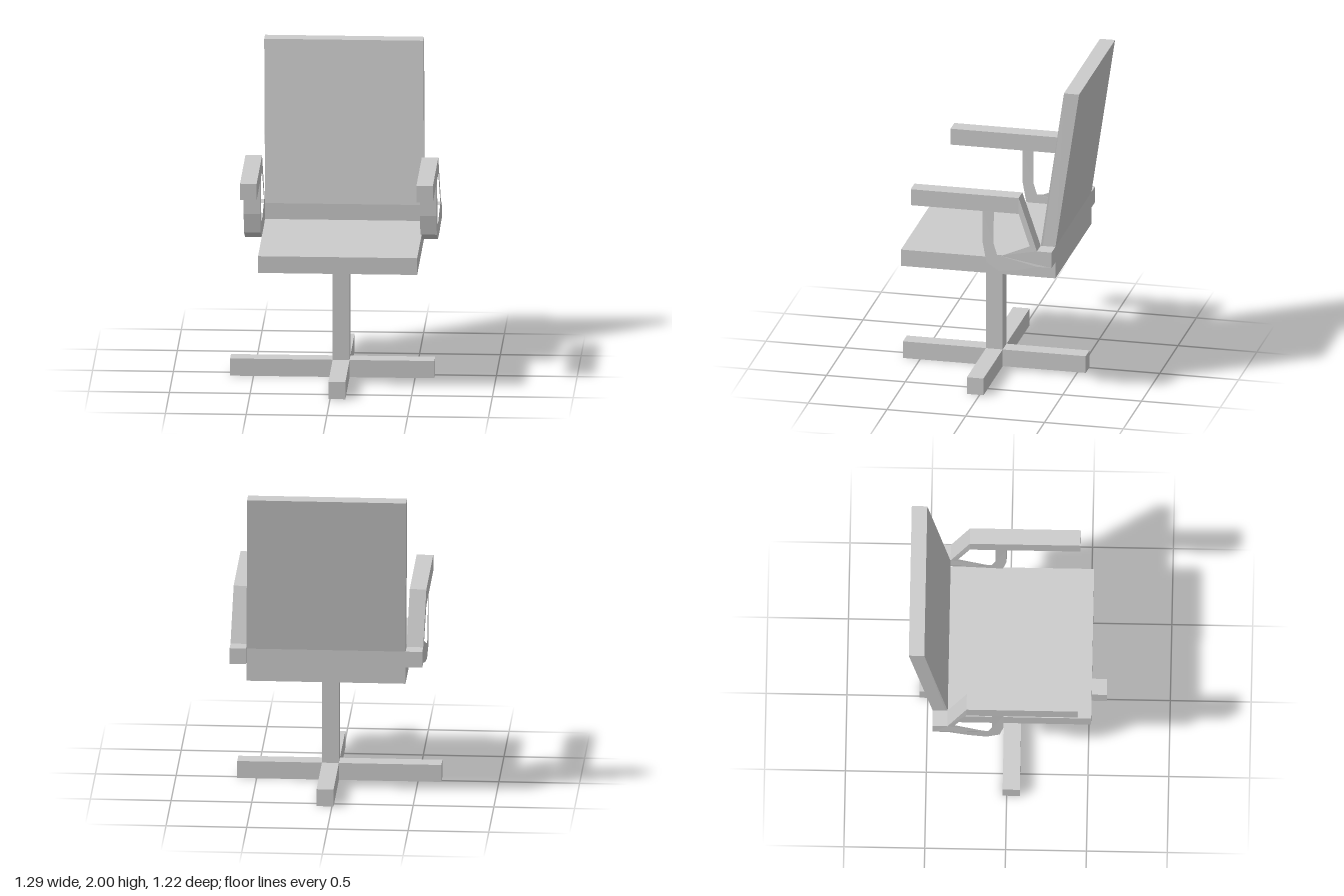
import * as THREE from 'three';

const material = new THREE.MeshStandardMaterial({ color: 0xcccccc, flatShading: true });

function add(group, name, geometry) {
  const mesh = new THREE.Mesh(geometry, material);
  mesh.name = name;
  group.add(mesh);
}

// Box given by its lower and upper limits on each axis
function block(x0, x1, y0, y1, z0, z1) {
  return new THREE.BoxGeometry(x1 - x0, y1 - y0, z1 - z0)
    .translate((x0 + x1) / 2, (y0 + y1) / 2, (z0 + z1) / 2);
}

// Side profile of [z, y] points, extruded along x from x0 to x1
function profile(points, x0, x1, hole) {
  const toVectors = (list) => list.map(([z, y]) => new THREE.Vector2(z, y));
  const shape = new THREE.Shape(toVectors(points));
  if (hole) shape.holes.push(new THREE.Path(toVectors(hole)));
  return new THREE.ExtrudeGeometry(shape, { depth: x1 - x0, bevelEnabled: false })
    .rotateY(-Math.PI / 2).translate(x1, 0, 0);
}

// Move every vertex by a rule
function reshape(geometry, rule) {
  const pos = geometry.attributes.position;
  const v = new THREE.Vector3();
  for (let i = 0; i < pos.count; i++) {
    rule(v.fromBufferAttribute(pos, i));
    pos.setXYZ(i, v.x, v.y, v.z);
  }
  geometry.computeVertexNormals();
  return geometry;
}

const clamp01 = (t) => THREE.MathUtils.clamp(t, 0, 1);

export function createModel() {
  const group = new THREE.Group();
  group.name = 'officeChair';

  // Cross-shaped foot and square post
  const px0 = -0.01, px1 = 0.095, pz0 = -0.025, pz1 = 0.081;
  const base = new THREE.Group();
  base.name = 'base';
  add(base, 'crossBar', block(-0.645, 0.62, 0, 0.11, pz0, pz1));
  add(base, 'frontFoot', block(px0, px1, 0, 0.11, pz1, 0.608));
  add(base, 'rearFoot', block(px0, px1, 0, 0.11, -0.552, pz0));
  group.add(base);
  add(group, 'post', block(px0, px1, 0.11, 0.745, pz0, pz1));

  // Seat slab with a shallow taper down to the post
  const sx0 = -0.45, sx1 = 0.535, sz0 = -0.462, sz1 = 0.519;
  add(group, 'seat', block(sx0, sx1, 0.778, 0.885, sz0, sz1));
  add(group, 'seatUnderside', reshape(block(sx0, sx1, 0.745, 0.778, sz0, sz1), (v) => {
    if (v.y > 0.76) return;
    v.x = v.x < 0 ? px0 : px1;
    v.z = v.z < 0 ? pz0 : pz1;
  }));

  // Reclined backrest, leaning slightly sideways
  const back = profile([
    [-0.462, 0.885], [-0.369, 0.885], [-0.369, 0.987],
    [-0.513, 2], [-0.609, 2], [-0.462, 0.987],
  ], sx0, sx1);
  add(group, 'backrest', reshape(back, (v) => { v.x -= 0.013 * clamp01((v.y - 0.987) / 1.013); }));

  // Armrests: pad, front strut, curved lower bracket and thin rear strut around an opening
  const outline = [
    [0.435, 1.22], [-0.022, 1.22], [-0.022, 1.01], [-0.045, 0.885], [-0.125, 0.835],
    [-0.235, 0.848], [-0.369, 0.885], [-0.462, 0.885], [-0.462, 0.987], [-0.369, 0.987],
    [-0.25, 1.325], [0.435, 1.325],
  ];
  const opening = [
    [-0.092, 1.22], [-0.092, 1.01], [-0.114, 0.938], [-0.15, 0.94], [-0.322, 1.015], [-0.25, 1.22],
  ];
  for (const [name, x0, x1] of [['rightArmrest', -0.566, -0.463], ['leftArmrest', 0.526, 0.628]]) {
    add(group, name, reshape(profile(outline, x0, x1, opening), (v) => {
      v.x += 0.012 * clamp01((-0.02 - v.z) / 0.35) * clamp01((1.22 - v.y) / 0.233);
    }));
  }
  return group;
}
